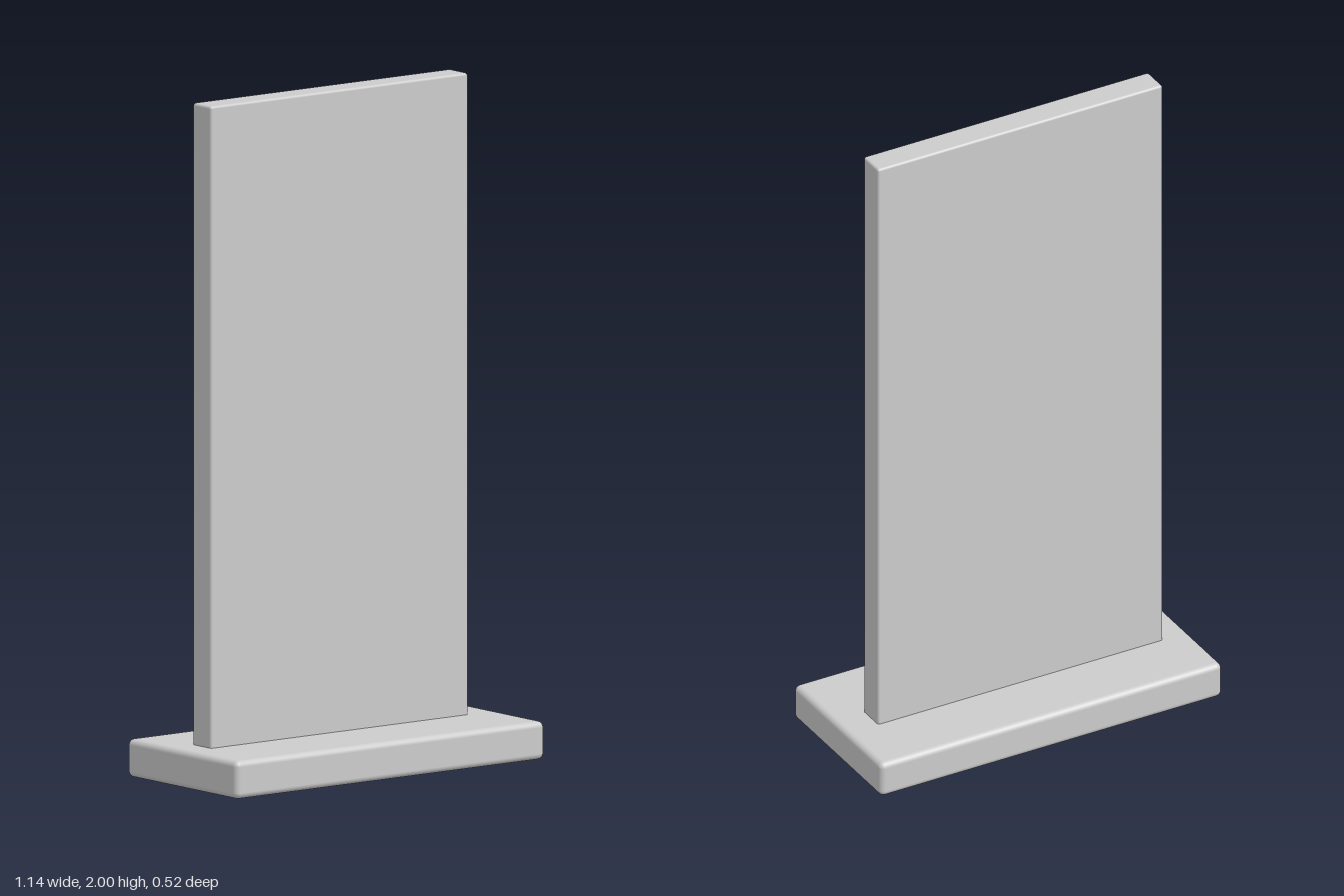
import * as THREE from 'three';
import { RoundedBoxGeometry } from 'three/addons/geometries/RoundedBoxGeometry.js';

const material = new THREE.MeshStandardMaterial({ color: 0xcccccc });

// Softly rounded block spanning two opposite corners
function block(name, min, max, radius) {
  const size = max.map((v, i) => v - min[i]);
  const mesh = new THREE.Mesh(new RoundedBoxGeometry(...size, 4, radius), material);
  mesh.position.set(...max.map((v, i) => (v + min[i]) / 2));
  mesh.name = name;
  return mesh;
}

export function createModel() {
  const model = new THREE.Group();
  model.name = 'standingPanel';

  // Flat plinth with rounded edges
  model.add(block('base', [-0.57, 0, -0.258], [0.57, 0.112, 0.258], 0.018));

  // Tall thin panel, slightly off centre, sunk into the base
  model.add(block('panel', [-0.484, 0.06, -0.058], [0.466, 2, 0.029], 0.008));

  return model;
}
